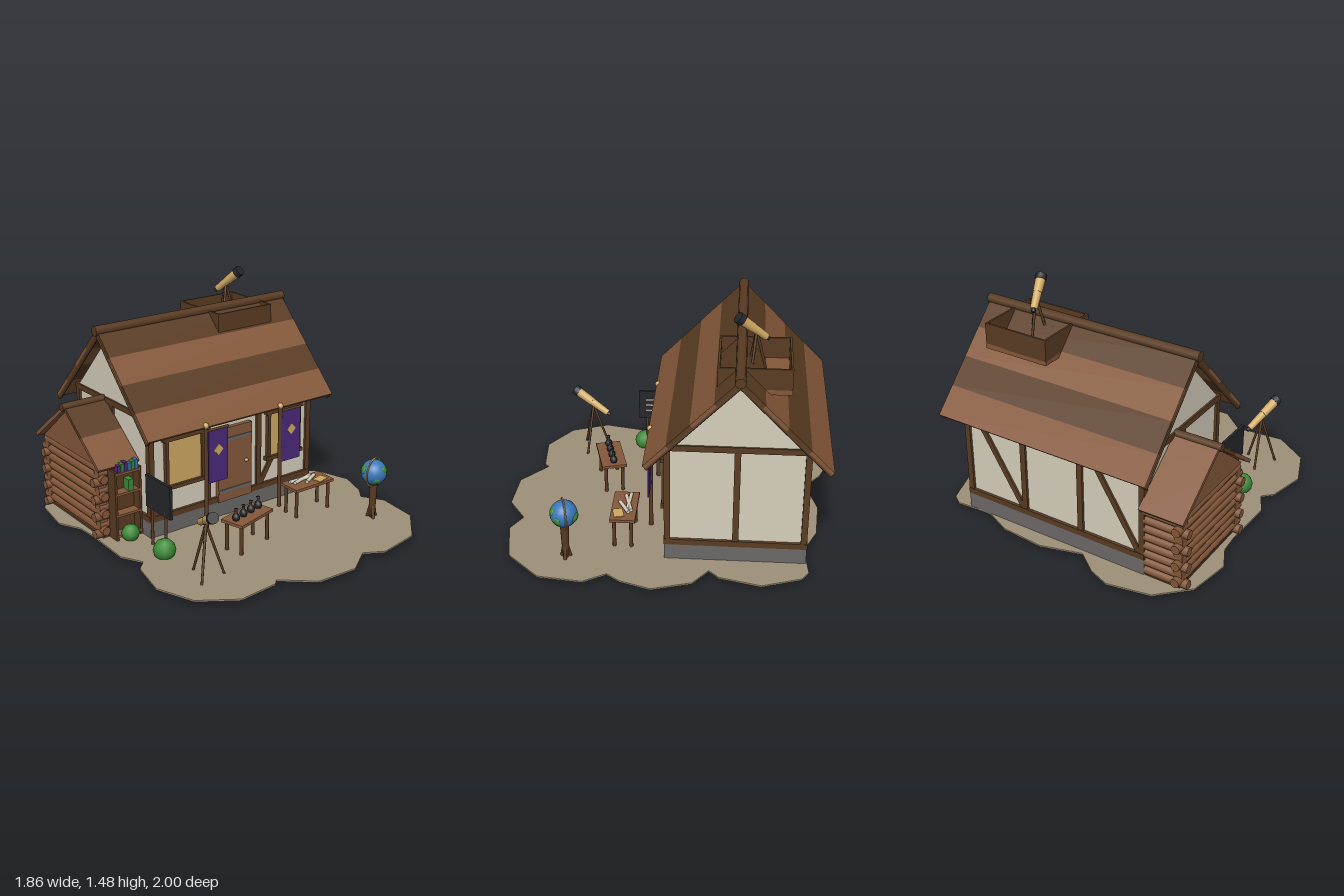
import * as THREE from 'three';

const M = {};
for (const [name, color] of Object.entries({
  darkWood: 0x5a3c23, lightWood: 0x85583a, plaster: 0xd6cfbd, stone: 0x6c6968, brass: 0xcfa862,
  purpleCloth: 0x4c2a7c, leaf: 0x3c8a36, ocean: 0x3a78b8, black: 0x26272b, dirt: 0x9e917a,
})) M[name] = new THREE.MeshStandardMaterial({ name, color });

const V = (x, y, z) => new THREE.Vector3(x, y, z);
const Y = V(0, 1, 0);

function add(parent, name, geo, mat, x = 0, y = 0, z = 0) {
  const m = new THREE.Mesh(geo, M[mat]);
  m.name = name;
  m.position.set(x, y, z);
  parent.add(m);
  return m;
}
// box given by its min and max corners
function box(parent, name, mat, x0, x1, y0, y1, z0, z1) {
  return add(parent, name, new THREE.BoxGeometry(x1 - x0, y1 - y0, z1 - z0), mat, (x0 + x1) / 2, (y0 + y1) / 2, (z0 + z1) / 2);
}
// round rod from a to b
function rod(parent, name, mat, a, b, r0, r1 = r0, sides = 10) {
  const m = add(parent, name, new THREE.CylinderGeometry(r1, r0, a.distanceTo(b), sides), mat);
  m.position.copy(a).lerp(b, 0.5);
  m.quaternion.setFromUnitVectors(Y, b.clone().sub(a).normalize());
  return m;
}
function group(parent, name) {
  const g = new THREE.Group();
  g.name = name;
  parent.add(g);
  return g;
}

// one roof slope made of equal plank bands, ridge to eave
function slope(parent, x0, x1, ridge, eave, bands, t) {
  const [zr, yr] = ridge, [ze, ye] = eave, n = bands.length;
  const len = Math.hypot(ze - zr, ye - yr);
  bands.forEach((mat, i) => {
    const k = (i + 0.5) / n;
    const m = add(parent, 'roofBand', new THREE.BoxGeometry(x1 - x0, t, len / n), mat,
      (x0 + x1) / 2, yr + (ye - yr) * k, zr + (ze - zr) * k);
    m.rotation.x = -Math.atan2(ye - yr, ze - zr);
    if (ze < zr) m.rotation.x = Math.atan2(ye - yr, zr - ze);
  });
}
// triangular wall across z, facing x
function gable(parent, name, mat, x, t, z0, z1, y0, y1) {
  const s = new THREE.Shape([new THREE.Vector2(-z1, y0), new THREE.Vector2(-z0, y0), new THREE.Vector2(-(z0 + z1) / 2, y1)]);
  const g = new THREE.ExtrudeGeometry(s, { depth: t, bevelEnabled: false });
  g.rotateY(Math.PI / 2);
  return add(parent, name, g.translate(x - t / 2, 0, 0).applyMatrix4(new THREE.Matrix4()), mat);
}

function ground(root) {
  const pts = [-.46, -1, -.33, -.95, -.2, -.85, .05, -.92, .32, -.9, .5, -.82, .72, -.84, .78, -.8, .86, -.57, .8, -.33, .74, -.27,
    .86, -.18, .93, .05, .87, .23, .81, .31, .89, .44, .86, .7, .67, .9, .4, .95, .28, .885, .12, .995, -.14, .985, -.32, .83,
    -.35, .86, -.6, .88, -.81, .74, -.9, .51, -.85, .27, -.79, .21, -.86, .08, -.85, -.25, -.86, -.38, -.93, -.52, -.89, -.78, -.72, -.95];
  const s = new THREE.Shape();
  for (let i = 0; i < pts.length; i += 2) s[i ? 'lineTo' : 'moveTo'](pts[i], -pts[i + 1]);
  const g = new THREE.ExtrudeGeometry(s, { depth: 0.01, bevelEnabled: false }).rotateX(-Math.PI / 2);
  add(root, 'ground', g, 'dirt', 0, 0.032, 0);
  // bushes and small tufts
  for (const [x, y, z, r] of [[-.65, .08, .22, .068], [-.69, .08, -.08, .055], [-.62, .022, -.2, .022], [-.7, .022, -.35, .02],
    [-.66, .022, -.55, .022], [-.6, .022, -.72, .02], [-.17, .022, -.7, .02], [.02, .022, -.78, .02]])
    add(root, 'bush', new THREE.IcosahedronGeometry(r, r > .05 ? 1 : 0), 'leaf', x, y, z);
}

function house(root) {
  const h = group(root, 'house');
  const x0 = -.595, x1 = .635, z0 = -.825, z1 = -.005;
  box(h, 'foundation', 'stone', x0, x1, .03, .14, z0, z1);
  box(h, 'walls', 'plaster', x0 + .015, x1 - .015, .14, .79, z0 + .015, z1 - .015);
  // timber frame
  const w = .036;
  for (const x of [x0, -.19, .2, x1 - w])
    for (const z of [z0, z1 - w]) box(h, 'post', 'darkWood', x, x + w, .14, .79, z, z + w);
  for (const x of [x0, x1 - w]) {
    box(h, 'sidePost', 'darkWood', x, x + w, .14, .79, -.433, -.397);
    for (const y of [.14, .765]) box(h, 'sideBeam', 'darkWood', x - .003, x + w + .003, y, y + w, z0, z1);
    gable(h, 'gable', 'plaster', x + w / 2, .02, z0 + .02, z1 - .02, .79, 1.2);
  }
  for (const z of [z0, z1 - w])
    for (const y of [.14, .765]) box(h, 'longBeam', 'darkWood', x0, x1, y, y + w, z - .003, z + w + .003);
  for (const z of [z0 + .016, z1 - .016])
    for (const x of [-.565, .225]) {
      const b = add(h, 'brace', new THREE.BoxGeometry(.034, .7, .026), 'darkWood', x + .187, .47, z);
      b.rotation.z = -Math.atan2(.365, .6);
    }
  // roof
  for (const ze of [.1, -.935])
    slope(h, -.67, .715, [-.4175, 1.235], [ze, .7], ['darkWood', 'lightWood', 'darkWood', 'lightWood'], .022);
  rod(h, 'ridgeBeam', 'darkWood', V(-.685, 1.238, -.4175), V(.725, 1.238, -.4175), .03);
  for (const x of [-.66, .7])
    for (const ze of [.09, -.925]) rod(h, 'rafter', 'darkWood', V(x, 1.21, -.4175), V(x, .685, ze), .014, .014, 6);

  // door
  box(h, 'door', 'lightWood', -.105, .15, .14, .62, -.02, .008);
  for (const y of [.21, .545]) box(h, 'hinge', 'stone', -.105, .145, y - .01, y + .01, .008, .014);
  add(h, 'doorKnob', new THREE.SphereGeometry(.012, 10, 8), 'brass', .1, .38, .02);
  // windows
  for (const [a, b] of [[-.49, -.21], [.275, .54]]) {
    box(h, 'windowPane', 'brass', a, b, .34, .64, -.012, .002);
    for (const x of [a, b - .022]) box(h, 'windowJamb', 'darkWood', x, x + .022, .34, .64, -.01, .015);
    for (const y of [.33, .635]) box(h, 'windowRail', 'darkWood', a - .015, b + .015, y, y + .024, -.01, .02);
  }
  // banners on poles
  for (const [x, a, b] of [[-.262, -.245, -.105], [.3, .312, .46]]) {
    rod(h, 'bannerPole', 'darkWood', V(x, .035, .098), V(x, .7, .098), .013);
    add(h, 'poleBall', new THREE.SphereGeometry(.019, 12, 8), 'brass', x, .712, .098);
    rod(h, 'bannerBar', 'darkWood', V(x, .678, .098), V(b + .005, .678, .098), .008);
    box(h, 'banner', 'purpleCloth', a, b, .34, .675, .094, .102);
    const d = add(h, 'diamond', new THREE.BoxGeometry(.05, .05, .016), 'brass', (a + b) / 2, .545, .098);
    d.rotation.z = Math.PI / 4;
  }
  // open lookout on the roof
  box(h, 'lookoutFloor', 'lightWood', .12, .535, 1.08, 1.11, -.7, -.29);
  for (const x of [.12, .523]) box(h, 'lookoutSide', 'darkWood', x, x + .012, 1.105, 1.235, -.7, -.29);
  for (const z of [-.7, -.302]) box(h, 'lookoutWall', 'darkWood', .12, .535, 1.105, 1.235, z, z + .012);
}

function logWing(root) {
  const g = group(root, 'logWing'), r = .028;
  box(g, 'floor', 'darkWood', -.82, -.6, .028, .055, -.82, -.18);
  for (let i = 0; i < 8; i++) {
    const y = .07 + i * .055, out = i % 2 ? .03 : 0;
    for (const z of [-.8, -.2]) rod(g, 'log', 'lightWood', V(-.865 + out, y, z), V(-.59, y, z), r, r, 8);
    rod(g, 'log', 'lightWood', V(-.81, y + .025, -.86 + out), V(-.81, y + .025, -.15 - out), r, r, 8);
  }
  gable(g, 'wingGable', 'lightWood', -.81, .04, -.84, -.16, .5, .775);
  slope(g, -.865, -.59, [-.5, .785], [-.125, .5], ['darkWood', 'lightWood'], .022);
  slope(g, -.865, -.59, [-.5, .785], [-.875, .5], ['lightWood', 'lightWood'], .022);
  rod(g, 'wingRidge', 'darkWood', V(-.88, .787, -.5), V(-.59, .787, -.5), .024);
  // bookshelf on the front
  box(g, 'shelfBack', 'darkWood', -.775, -.595, .04, .48, -.175, -.16);
  for (const x of [-.775, -.61]) box(g, 'shelfSide', 'darkWood', x, x + .015, .04, .48, -.165, -.095);
  for (const y of [.06, .19, .325, .455]) box(g, 'shelf', 'lightWood', -.77, -.6, y, y + .015, -.165, -.095);
  ['purpleCloth', 'leaf', 'purpleCloth', 'ocean', 'leaf', 'ocean'].forEach((c, i) => {
    const x = -.752 + i * .024;
    box(g, 'book', c, x, x + .02, .47, .515 + (i % 3) * .005, -.15, -.1);
  });
  box(g, 'book', 'leaf', -.68, -.645, .34, .41, -.155, -.1);
}

// tripod telescope: eye end, lens end, tripod top, foot height and spread
function telescope(root, eye, lens, hub, footY, spread, turn) {
  const g = group(root, 'telescope');
  const mid = eye.clone().lerp(lens, .5);
  rod(g, 'eyeTube', 'brass', eye, mid, .021, .025, 14);
  rod(g, 'lensTube', 'brass', mid, lens, .027, .03, 14);
  const dir = lens.clone().sub(eye).normalize();
  rod(g, 'lensCap', 'black', lens.clone().addScaledVector(dir, -.022), lens.clone().addScaledVector(dir, .012), .033, .033, 14);
  rod(g, 'eyepiece', 'black', eye.clone().addScaledVector(dir, -.02), eye, .012, .012, 10);
  for (let i = 0; i < 3; i++) {
    const a = turn + i * Math.PI * 2 / 3;
    rod(g, 'tripodLeg', 'darkWood', V(hub.x + Math.cos(a) * spread, footY, hub.z + Math.sin(a) * spread), hub, .007, .009, 8);
  }
}

function table(root, x, z, turn, w, d) {
  const g = group(root, 'table');
  g.position.set(x, 0, z);
  g.rotation.y = turn;
  box(g, 'tableTop', 'lightWood', -w / 2, w / 2, .22, .238, -d / 2, d / 2);
  for (const sx of [-1, 1])
    for (const sz of [-1, 1]) rod(g, 'tableLeg', 'darkWood', V(sx * (w / 2 - .025), .035, sz * (d / 2 - .025)), V(sx * (w / 2 - .025), .225, sz * (d / 2 - .025)), .011);
  return g;
}

function yard(root) {
  // flasks on the turned table
  const t1 = table(root, -.185, .395, .265, .3, .155);
  const flask = new THREE.LatheGeometry([[0, 0], [.018, .002], [.024, .02], [.018, .036], [.008, .045], [.008, .065], [.012, .072], [0, .072]]
    .map(p => new THREE.Vector2(...p)), 14);
  for (let i = 0; i < 4; i++) add(t1, 'flask', flask, 'black', -.108 + i * .071, .238, 0);
  // scrolls and a map
  const t2 = table(root, .405, .245, 0, .305, .15);
  for (const [a, b, c, d] of [[-.12, -.03, .05, -.02], [-.1, .0, .06, -.045], [-.03, .03, .08, -.03]])
    rod(t2, 'scroll', 'plaster', V(a, .248, b), V(c, .248, d), .011);
  add(t2, 'map', new THREE.BoxGeometry(.085, .004, .06), 'brass', .08, .241, .03).rotation.y = .25;
  // globe on a stand
  const gl = group(root, 'globe');
  gl.position.set(.66, .34, .565);
  add(gl, 'globeBall', new THREE.SphereGeometry(.08, 24, 16), 'ocean');
  for (const [x, y, z, s] of [[.35, .4, .85, .03], [-.4, -.5, .75, .028], [.85, -.2, .35, .03], [-.8, .35, -.3, .032],
    [.3, -.1, -.95, .034], [.1, -.75, .6, .025]]) {
    const n = V(x, y, z).normalize();
    const c = add(gl, 'land', new THREE.SphereGeometry(s, 12, 8), 'leaf');
    c.scale.set(1, .45, .8);
    c.position.copy(n).multiplyScalar(.071);
    c.quaternion.setFromUnitVectors(Y, n);
  }
  add(gl, 'globeRing', new THREE.TorusGeometry(.09, .005, 8, 32), 'brass').rotation.y = .3;
  rod(gl, 'globeStem', 'darkWood', V(0, -.305, 0), V(0, -.08, 0), .018, .026);
  for (let i = 0; i < 3; i++) {
    const a = i * Math.PI * 2 / 3;
    rod(gl, 'globeFoot', 'darkWood', V(Math.cos(a) * .03, -.305, Math.sin(a) * .03), V(0, -.17, 0), .01);
  }
  // chalk board
  const b = group(root, 'chalkBoard');
  box(b, 'board', 'black', -.63, -.612, .27, .472, .005, .255);
  for (const y of [.33, .37, .41])
    for (const [p, q] of [[.04, .11], [.13, .21]]) box(b, 'chalkLine', 'plaster', -.612, -.609, y - .004, y + .004, p, q);
  for (const z of [.06, .2]) rod(b, 'boardLeg', 'darkWood', V(-.625, .035, z), V(-.622, .3, z), .009);

  telescope(root, V(-.565, .325, .46), V(-.638, .45, .675), V(-.6, .36, .56), .035, .105, .35);
  telescope(root, V(.305, 1.32, -.55), V(.36, 1.45, -.4), V(.33, 1.365, -.495), 1.11, .065, .4);
}

export function createModel() {
  const root = new THREE.Group();
  root.name = 'cottage';
  ground(root);
  house(root);
  logWing(root);
  yard(root);
  return root;
}
